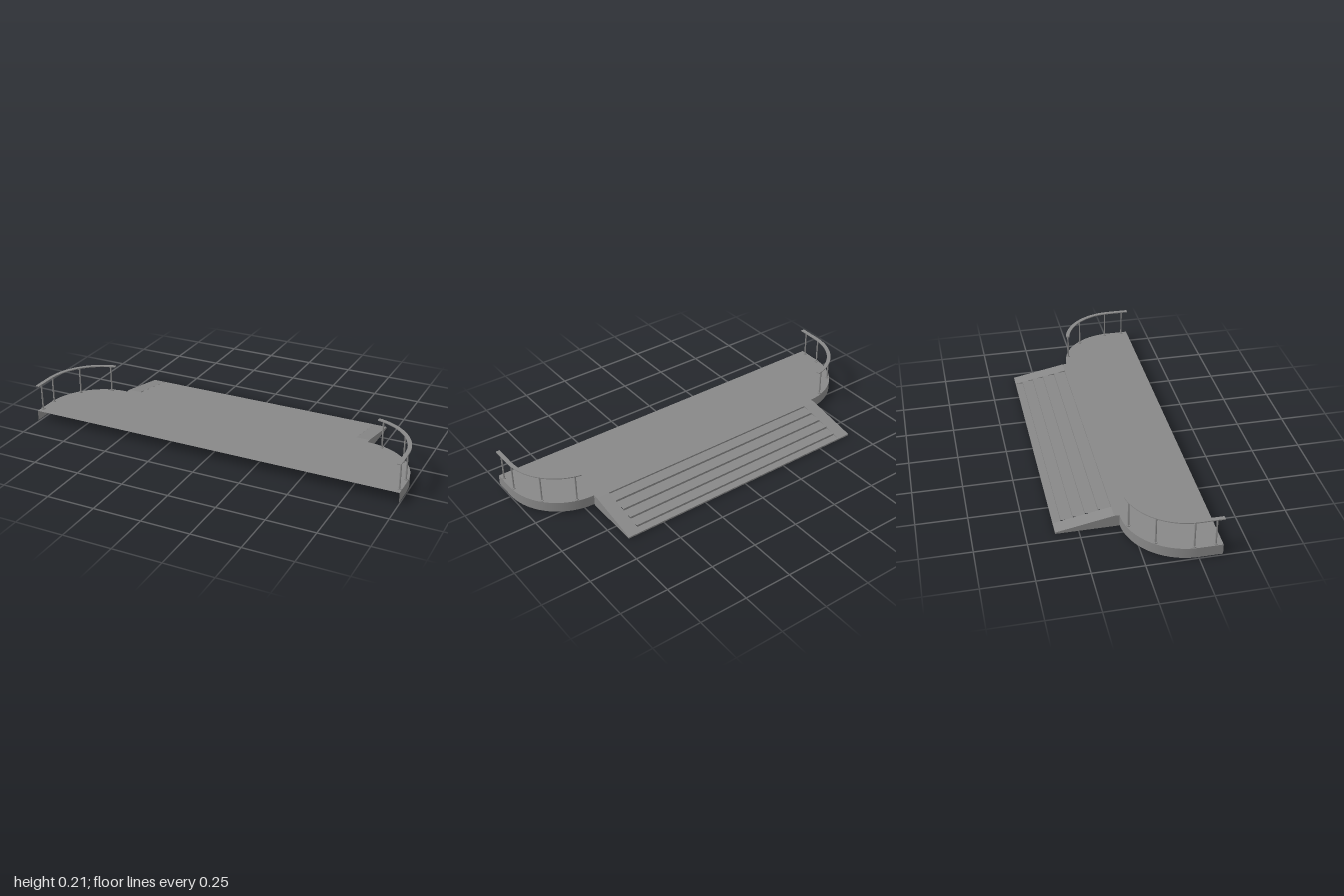
import * as THREE from 'three';
import { toCreasedNormals } from 'three/addons/utils/BufferGeometryUtils.js';

const TOP = 0.062, BOTTOM = 0.008, FRONT = 0.362, BACK = -0.055;
const CX = 0.7, CZ = 0.245; // centre of the rounded back corners
const RAMP_W = 0.7, STEP_W = 0.63, RAMP_START = -0.08, RAMP_END = -0.362;

// Surface between two matching rows of points
function ribbon(a, b) {
  const pos = [], idx = [];
  a.forEach((p, i) => {
    pos.push(...p, ...b[i]);
    if (i) {
      const k = 2 * i;
      idx.push(k - 2, k - 1, k, k, k - 1, k + 1);
    }
  });
  const g = new THREE.BufferGeometry();
  g.setAttribute('position', new THREE.Float32BufferAttribute(pos, 3));
  g.setIndex(idx);
  g.computeVertexNormals();
  return g;
}

// Points [x, z] from the front along the side and round the back corner
function sidePath(radius, endAngle, side, n = 24) {
  const pts = [[side * (CX + radius), FRONT]];
  for (let i = 0; i <= n; i++) {
    const t = endAngle * i / n;
    pts.push([side * (CX + radius * Math.cos(t)), CZ - radius * Math.sin(t)]);
  }
  return pts;
}

export function createModel() {
  const group = new THREE.Group();
  const grey = new THREE.MeshStandardMaterial({ color: 0x888888, side: THREE.DoubleSide });
  grey.name = 'grey';
  const add = (name, geometry, parent = group) => {
    const m = new THREE.Mesh(geometry, grey);
    m.name = name;
    parent.add(m);
    return m;
  };

  // Deck sheet with rounded back corners and an open-fronted skirt
  const outline = [...sidePath(0.3, Math.PI / 2, 1), ...sidePath(0.3, Math.PI / 2, -1).reverse()];
  const deck = new THREE.ShapeGeometry(new THREE.Shape(outline.map(([x, z]) => new THREE.Vector2(x, -z))));
  deck.rotateX(-Math.PI / 2).translate(0, TOP, 0);
  add('deck', deck);
  add('skirt', ribbon(outline.map(([x, z]) => [x, TOP, z]), outline.map(([x, z]) => [x, BOTTOM, z])));

  // Shallow steps between the ramp edges
  const noses = [-0.142, -0.206, -0.265, -0.323, RAMP_END];
  const profile = [[RAMP_START, TOP]];
  let z0 = RAMP_START;
  noses.forEach((z, i) => {
    const y = 0.0535 - i * 0.0113;
    profile.push([z0, y], [z, y]);
    z0 = z;
  });
  profile.push([RAMP_END, 0]);
  const steps = ribbon(profile.map(([z, y]) => [-STEP_W, y, z]), profile.map(([z, y]) => [STEP_W, y, z])).toNonIndexed();
  steps.computeVertexNormals();
  add('steps', steps);

  // Flat landing joining the deck and ramp
  const landing = new THREE.PlaneGeometry(2 * RAMP_W, BACK - RAMP_START);
  landing.rotateX(-Math.PI / 2).translate(0, TOP, (BACK + RAMP_START) / 2);
  add('landing', landing);

  // Sloping edges with inner and outer walls
  const slope = [[RAMP_START, TOP], [RAMP_END, BOTTOM], [RAMP_END, 0]];
  const wall = [[BACK, 0], [BACK, TOP], ...slope];
  for (const s of [-1, 1]) {
    const edge = new THREE.Group();
    edge.name = s > 0 ? 'leftRampEdge' : 'rightRampEdge';
    group.add(edge);
    const [xa, xb] = s > 0 ? [STEP_W, RAMP_W] : [-RAMP_W, -STEP_W];
    const top = ribbon(slope.map(([z, y]) => [xa, y, z]), slope.map(([z, y]) => [xb, y, z])).toNonIndexed();
    top.computeVertexNormals();
    add('slope', top, edge);
    for (const [name, x] of [['outerWall', RAMP_W], ['innerWall', STEP_W]]) {
      const g = new THREE.ShapeGeometry(new THREE.Shape(wall.map(([z, y]) => new THREE.Vector2(-z, y))));
      add(name, g.rotateY(Math.PI / 2).translate(s * x, 0, 0), edge);
    }
  }

  // Curved handrails on slim posts with round base plates
  const R = 0.288;
  for (const s of [-1, 1]) {
    const railing = new THREE.Group();
    railing.name = s > 0 ? 'leftRailing' : 'rightRailing';
    group.add(railing);
    const end = 1.38;
    const band = [...sidePath(R + 0.01, end, s), ...sidePath(R - 0.01, end, s).reverse()];
    const rail = new THREE.ExtrudeGeometry(
      new THREE.Shape(band.map(([x, z]) => new THREE.Vector2(x, z))), { depth: 0.005, bevelEnabled: false });
    rail.rotateX(Math.PI / 2).translate(0, 0.21, 0);
    add('handrail', toCreasedNormals(rail, 0.6), railing);

    for (const z of [0.328, 0.227, 0.063, -0.031]) {
      const dz = Math.min(0, z - CZ);
      const x = s * (CX + Math.sqrt(R * R - dz * dz));
      add('post', new THREE.CylinderGeometry(0.0042, 0.0042, 0.144, 12), railing).position.set(x, TOP + 0.072, z);
      add('basePlate', new THREE.CylinderGeometry(0.01, 0.01, 0.004, 16), railing).position.set(x, TOP + 0.002, z);
    }
  }
  return group;
}
